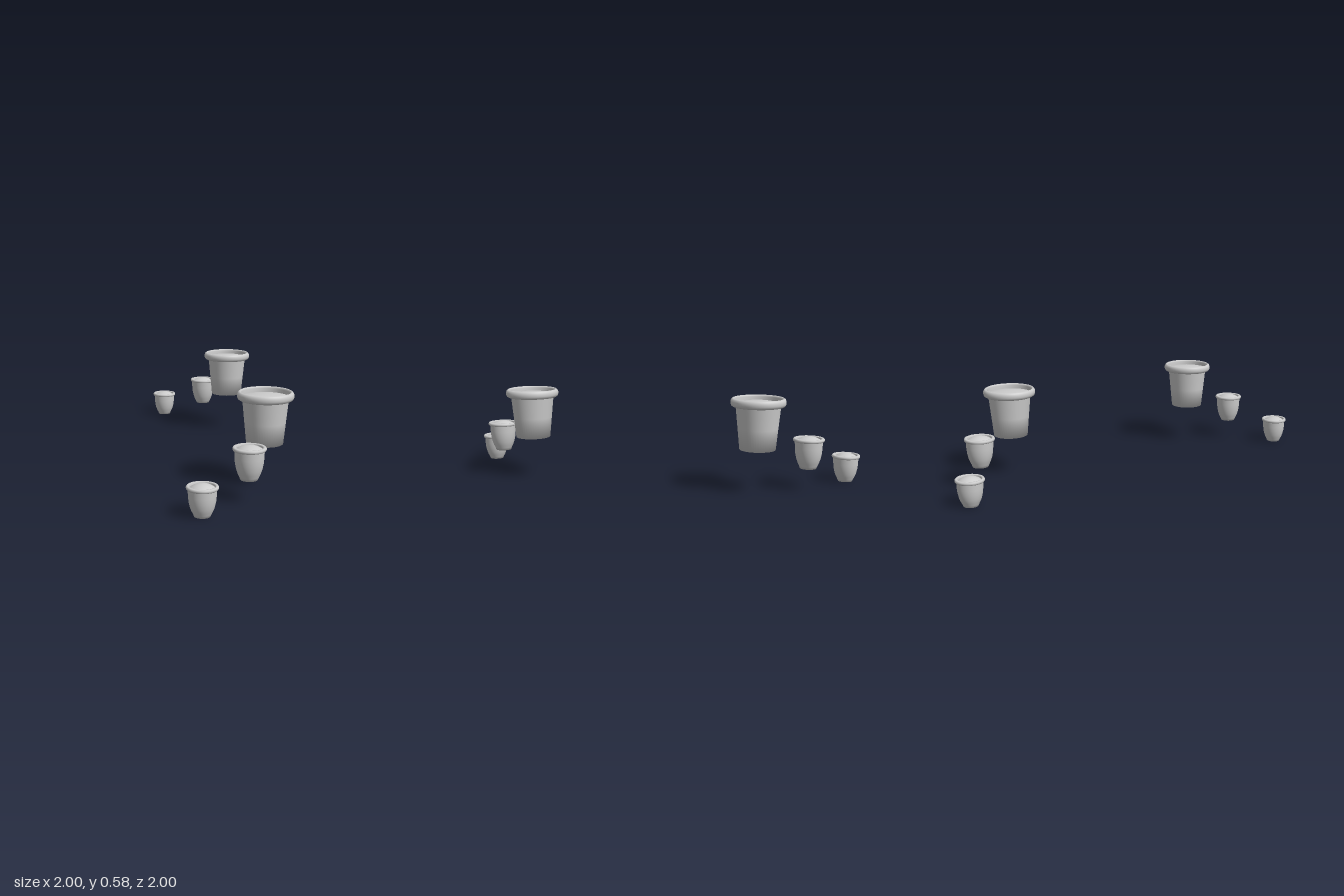
import * as THREE from 'three';

const potMaterial = new THREE.MeshStandardMaterial({ color: 0xcccccc });
potMaterial.name = 'pale grey clay';

// Smooth lathe from [radius, height] pairs, running upwards on the outside
function lathe(name, points, segments = 48) {
  const geometry = new THREE.LatheGeometry(points.map(([r, y]) => new THREE.Vector2(r, y)), segments);
  const mesh = new THREE.Mesh(geometry, potMaterial);
  mesh.name = name;
  return mesh;
}

// Shallow domed fill that closes the mouth of a pot
function soil(radius, edgeY, topY) {
  const points = [];
  for (let i = 0; i <= 8; i++) {
    const a = (i / 8) * Math.PI / 2;
    points.push([radius * Math.cos(a), edgeY + (topY - edgeY) * Math.sin(a) ** 2]);
  }
  points[8][0] = 0;
  return lathe('soil', points);
}

// Wide straight-sided pot with a thick rounded rim
function largePot() {
  const pot = new THREE.Group();
  pot.add(
    lathe('body', [[0, 0], [0.11, 0], [0.123, 0.13], [0.137, 0.268]]),
    lathe('rim', [[0.136, 0.264], [0.154, 0.263], [0.163, 0.269], [0.168, 0.281], [0.168, 0.296],
      [0.163, 0.308], [0.154, 0.314], [0.148, 0.311], [0.144, 0.303], [0.143, 0.27]]),
    soil(0.144, 0.28, 0.298),
  );
  return pot;
}

// Small cup-shaped pot with a thin flared lip and heaped soil
function cupPot(rim, foot, lipY, topY) {
  const pot = new THREE.Group();
  const wall = rim * 0.89;
  const inner = rim * 0.75;
  const body = [[0, 1], [0.1, 0.82], [0.2, 0.58], [0.35, 0.33], [0.55, 0.13], [0.75, 0.04], [1, 0]]
    .map(([t, k]) => [wall + (foot - wall) * k, lipY * t]);
  pot.add(
    lathe('body', [[0, 0], ...body]),
    lathe('rim', [[wall - 0.002, lipY - 0.002], [rim - 0.004, lipY - 0.001], [rim, lipY + 0.005],
      [rim, lipY + 0.013], [rim - 0.005, lipY + 0.019], [inner + 0.008, lipY + 0.019],
      [inner + 0.003, lipY + 0.014], [inner + 0.001, lipY - 0.01]]),
    soil(inner + 0.002, lipY + 0.007, topY),
  );
  return pot;
}

export function createModel() {
  const model = new THREE.Group();
  model.name = 'potSet';

  const kinds = [
    { name: 'LargePot', x: -0.25, y: 0.262, z: 0.798, make: largePot },
    { name: 'MediumPot', x: -0.558, y: 0.132, z: 0.902, make: () => cupPot(0.096, 0.05, 0.17, 0.2) },
    { name: 'SmallPot', x: -0.909, y: 0, z: 0.842, make: () => cupPot(0.089, 0.045, 0.153, 0.184) },
  ];

  // The two rows mirror each other across the diagonal x = z
  for (const { name, x, y, z, make } of kinds) {
    const front = make();
    front.name = 'front' + name;
    front.position.set(x, y, z);
    const side = make();
    side.name = 'side' + name;
    side.position.set(z, y, x);
    model.add(front, side);
  }
  return model;
}
